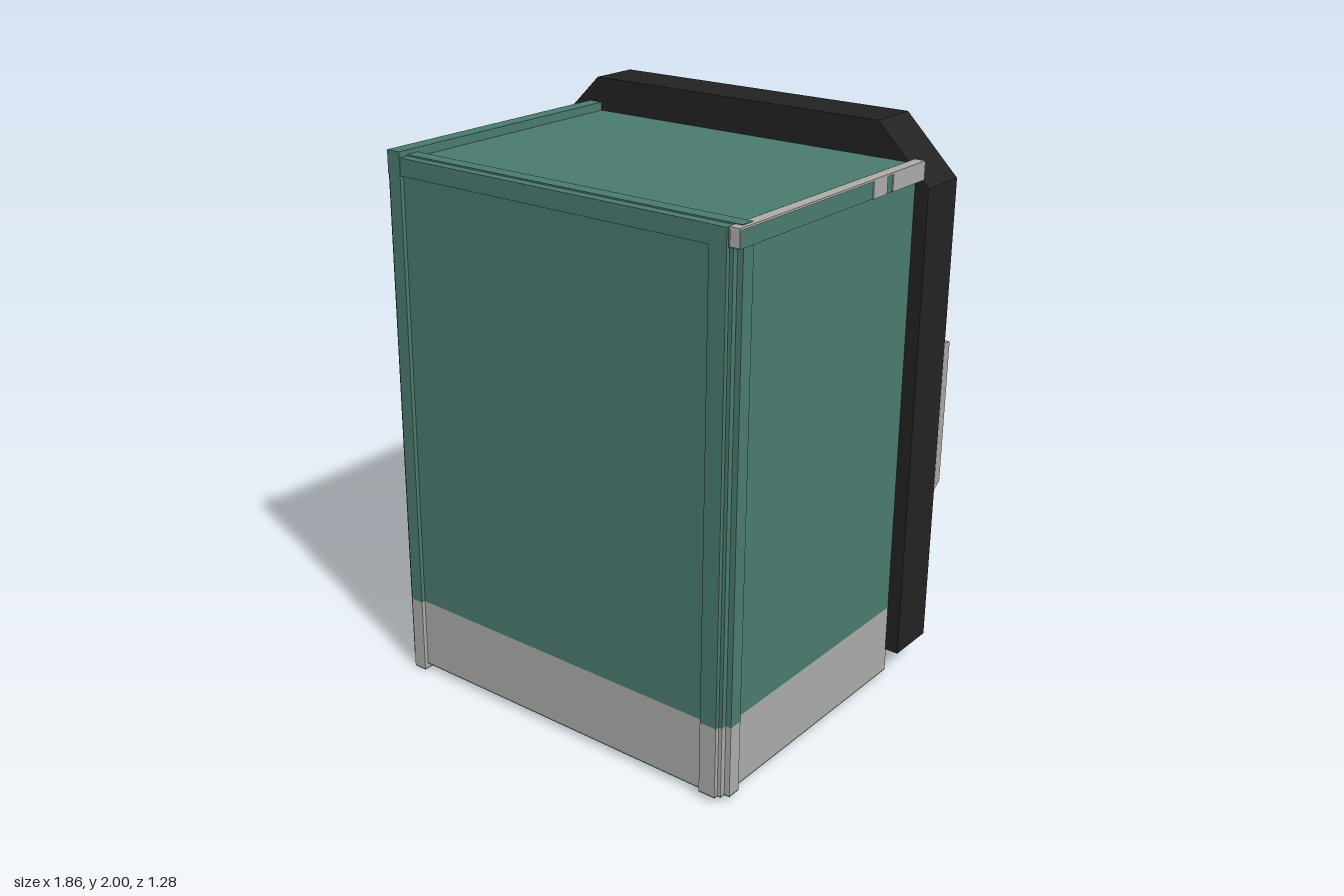
import * as THREE from 'three';

export function createModel() {
  const root = new THREE.Group();
  root.name = 'elevatorCab';
  const mat = (name, color) => Object.assign(new THREE.MeshStandardMaterial({ color }), { name });
  const teal = mat('teal', 0x4a7a6e);
  const grey = mat('grey', 0xabaca8);
  const black = mat('black', 0x222222);

  const add = (name, geo, m, parent = root) => {
    const mesh = new THREE.Mesh(geo, m);
    mesh.name = name;
    parent.add(mesh);
    return mesh;
  };
  // Box from its bounds; taper shrinks the -z face by a fixed margin
  const box = (name, m, [x0, x1], [y0, y1], [z0, z1], taper = 0, parent = root) => {
    const g = new THREE.BoxGeometry(x1 - x0, y1 - y0, z1 - z0);
    if (taper) {
      const p = g.attributes.position;
      for (let i = 0; i < p.count; i++) {
        if (p.getZ(i) < 0) {
          p.setX(i, p.getX(i) - Math.sign(p.getX(i)) * taper);
          p.setY(i, p.getY(i) - Math.sign(p.getY(i)) * taper);
        }
      }
      const flat = g.toNonIndexed();
      flat.computeVertexNormals();
      flat.translate((x0 + x1) / 2, (y0 + y1) / 2, (z0 + z1) / 2);
      return add(name, flat, m, parent);
    }
    g.translate((x0 + x1) / 2, (y0 + y1) / 2, (z0 + z1) / 2);
    return add(name, g, m, parent);
  };
  const extrude = (name, shape, m, depth, z, parent = root) => {
    const g = new THREE.ExtrudeGeometry(shape, { depth, bevelEnabled: false, curveSegments: 16 });
    g.translate(0, 0, z);
    return add(name, g, m, parent);
  };

  // Cab walls and posts: teal above a grey skirt
  const SPLIT = 0.275;
  const wall = (name, x, [y0, y1], z) => {
    box(name + 'Upper', teal, x, [SPLIT, y1], z);
    box(name + 'Skirt', grey, x, [y0 + 0.005, SPLIT], z);
    box(name + 'Foot', teal, x, [y0, y0 + 0.005], z);
  };
  const back = -0.38;
  wall('frontWall', [-0.46, 0.85], [0.02, 1.87], [0.6, 0.625]);
  wall('rightWall', [-0.485, -0.46], [0.02, 1.87], [back, 0.625]);
  wall('leftWall', [0.85, 0.875], [0.02, 1.87], [back, 0.625]);
  box('ceiling', teal, [-0.46, 0.85], [1.85, 1.88], [back, 0.6]);
  wall('rightFrontPost', [-0.485, -0.435], [0, 1.91], [0.59, 0.64]);
  wall('leftFrontPost', [0.8, 0.862], [0.02, 1.89], [0.59, 0.64]);
  wall('rightSidePost', [-0.525, -0.48], [0.02, 1.89], [0.555, 0.605]);
  wall('leftSidePost', [0.86, 0.895], [0.02, 1.89], [0.555, 0.605]);

  // Roof rails
  box('rightRoofRail', teal, [-0.49, -0.435], [1.83, 1.91], [back, 0.64]);
  box('frontRoofRail', teal, [-0.435, 0.862], [1.83, 1.89], [0.6, 0.638]);
  box('crossRail', teal, [-0.525, 0.89], [1.84, 1.895], [0.555, 0.605]);
  box('leftRoofRail', teal, [0.85, 0.9], [1.83, 1.886], [back, 0.632]);
  box('leftRailTop', grey, [0.865, 0.904], [1.886, 1.893], [back, 0.637]);
  box('leftRailEnd', grey, [0.87, 0.904], [1.835, 1.887], [0.632, 0.637]);
  for (const z of [[-0.15, -0.07], [back, -0.185]]) box('leftRailPatch', grey, [0.9, 0.904], [1.83, 1.888], z);

  // Chamfered door frame, open at the bottom
  const C = 0.1375;
  const frame = new THREE.Shape([
    [-0.787, 0.105], [-0.787, 1.805], [-0.59, 2], [0.59, 2], [0.787, 1.805], [0.787, 0.105],
    [0.593, 0.105], [0.593, 1.81], [-0.593, 1.81], [-0.593, 0.105],
  ].map(([x, y]) => new THREE.Vector2(x + C, y)));
  extrude('doorFrame', frame, black, 0.187, -0.562);
  box('doorSill', black, [C - 0.593, C + 0.593], [0.1, 0.11], [-0.452, -0.376]);

  // Sliding doors and the dark seam between them
  for (const s of [-1, 1]) {
    const xs = [C + s * 0.015, C + s * 0.593].sort((a, b) => a - b);
    box(s > 0 ? 'leftDoor' : 'rightDoor', grey, xs, [0.11, 1.81], [-0.45, -0.39]);
    const edge = [C + s * 0.006, C + s * 0.036].sort((a, b) => a - b);
    box('doorEdge', black, edge, [0.11, 1.81], [-0.458, -0.39]);
  }
  box('doorSeam', black, [C - 0.01, C + 0.01], [0.11, 1.81], [-0.448, -0.4]);

  // Round eye ornament on the doors
  const disc = add('eyeDisc', new THREE.CylinderGeometry(0.285, 0.285, 0.03, 32), black);
  disc.rotation.x = Math.PI / 2;
  disc.position.set(C, 0.97, -0.465);
  const eye = new THREE.Group();
  eye.name = 'eye';
  eye.position.set(C, 1.07, 0);
  eye.rotation.z = 0.13;
  root.add(eye);
  const almond = (w, h) => {
    const s = new THREE.Shape();
    s.moveTo(-w, 0);
    s.bezierCurveTo(-w * 0.45, h * 1.33, w * 0.45, h * 1.33, w, 0);
    s.bezierCurveTo(w * 0.45, -h * 1.33, -w * 0.45, -h * 1.33, -w, 0);
    return s;
  };
  extrude('eyeRim', almond(0.262, 0.165), black, 0.03, -0.49, eye);
  extrude('eyeWhite', almond(0.235, 0.13), grey, 0.008, -0.497, eye);
  const pupil = add('pupil', new THREE.CylinderGeometry(0.09, 0.09, 0.008, 24), black, eye);
  pupil.rotation.x = Math.PI / 2;
  pupil.position.set(0.02, 0.005, -0.5);
  const glint = new THREE.Shape();
  glint.moveTo(0.08, 0.885);
  glint.quadraticCurveTo(-0.06, 0.875, -0.11, 1.03);
  glint.quadraticCurveTo(-0.05, 0.905, 0.08, 0.885);
  extrude('eyeGlint', glint, grey, 0.006, -0.485);

  // Conduit following the frame
  const outer = [[0.725, 0.105], [0.725, 1.805], [0.6, 1.93]];
  const inner = [[0.665, 0.105], [0.665, 1.78], [0.575, 1.87]];
  const mirror = (a) => a.map(([x, y]) => [-x, y]);
  const path = [...outer, ...mirror(outer).reverse(), ...mirror(inner), ...[...inner].reverse()];
  const conduit = new THREE.Shape(path.map(([x, y]) => new THREE.Vector2(x + C, y)));
  extrude('conduit', conduit, grey, 0.026, -0.587);

  // Housings on the frame
  box('topHousing', grey, [C - 0.29, C + 0.29], [1.86, 1.965], [-0.602, -0.56], 0.02);
  box('leftHousing', grey, [0.735, 0.925], [0.68, 1.23], [-0.618, -0.56], 0.012);
  box('rightHousing', grey, [-0.65, -0.46], [0.68, 1.23], [-0.618, -0.56], 0.012);
  const knob = (name, m, r, x, y, z, len) => {
    const k = add(name, new THREE.CylinderGeometry(r, r * 0.75, len, 12), m);
    k.rotation.x = Math.PI / 2;
    k.position.set(x, y, z);
  };
  knob('topSensor', black, 0.028, C, 1.91, -0.605, 0.012);
  for (const y of [0.88, 1.03]) {
    knob('callButtonBase', teal, 0.042, 0.83, y, -0.622, 0.012);
    knob('callButton', teal, 0.03, 0.83, y, -0.632, 0.012);
  }

  // Detached wall display
  box('displayBack', black, [-0.93, -0.73], [0.79, 1.12], [-0.525, -0.5]);
  box('displayBezel', grey, [-0.905, -0.755], [0.835, 1.075], [-0.545, -0.525]);
  box('displayScreen', teal, [-0.89, -0.77], [0.855, 1.055], [-0.549, -0.545]);

  return root;
}
